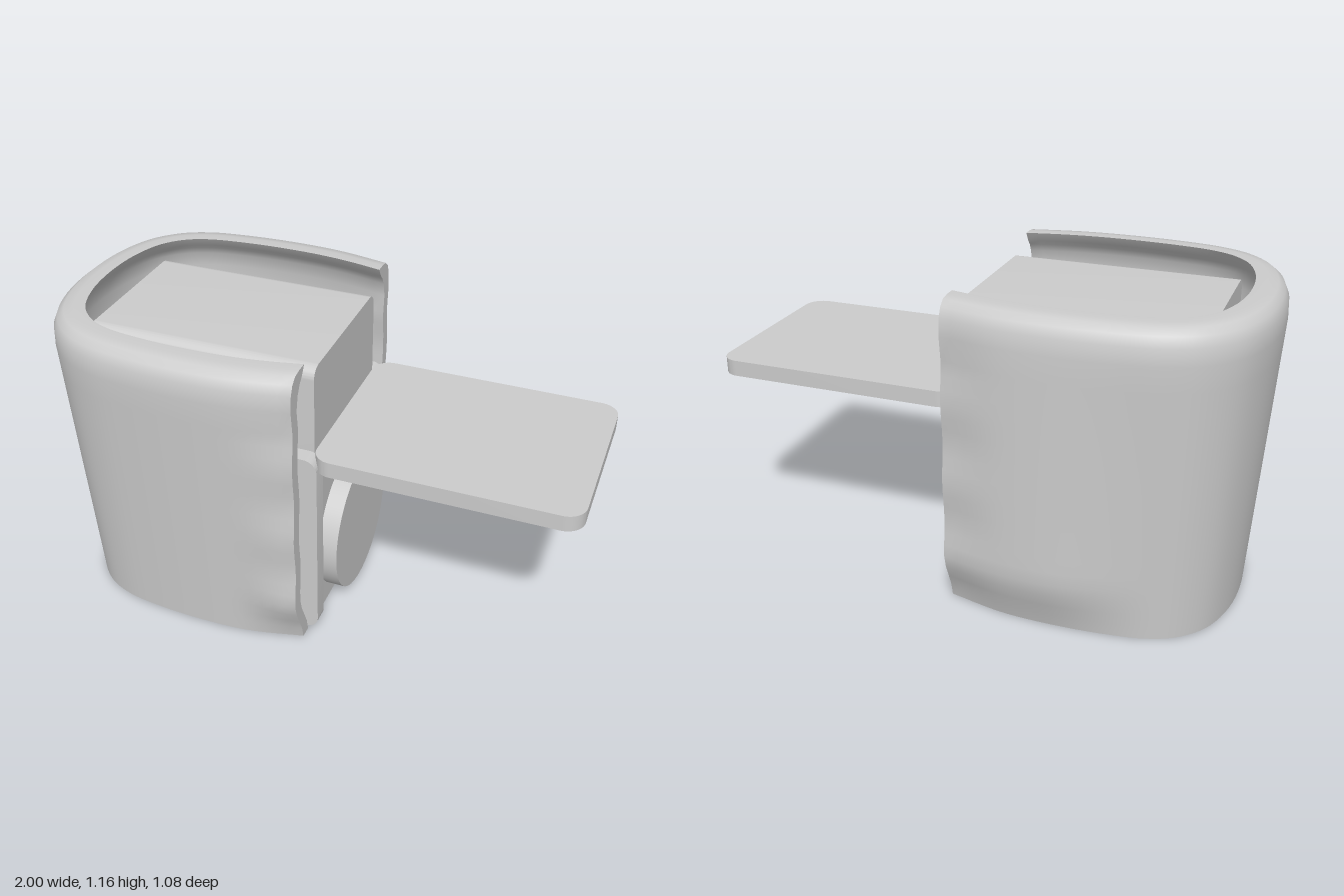
import * as THREE from 'three';
import { toCreasedNormals } from 'three/addons/utils/BufferGeometryUtils.js';

const grey = new THREE.MeshStandardMaterial({ color: 0xcccccc });
grey.name = 'grey plastic';
const { smoothstep } = THREE.MathUtils;

// Rounded rectangle from (x0, y0) to (x1, y1)
function roundedRect(x0, y0, x1, y1, r) {
  const s = new THREE.Shape();
  s.absarc(x1 - r, y0 + r, r, -Math.PI / 2, 0);
  s.absarc(x1 - r, y1 - r, r, 0, Math.PI / 2);
  s.absarc(x0 + r, y1 - r, r, Math.PI / 2, Math.PI);
  s.absarc(x0 + r, y0 + r, r, Math.PI, Math.PI * 1.5);
  s.closePath();
  return s;
}

function extrude(shape, depth) {
  const g = new THREE.ExtrudeGeometry(shape, { depth, bevelEnabled: false, curveSegments: 8 });
  return toCreasedNormals(g, 0.6);
}

// U-shaped housing: a hooked wall section swept around the plan, open at +x
function shellGeometry() {
  const half = [[0.05, 0.49], [-0.15, 0.53], [-0.35, 0.54], [-0.55, 0.53], [-0.7, 0.505],
    [-0.82, 0.45], [-0.92, 0.345], [-0.98, 0.19]];
  const plan = [...half, [-1, 0], ...half.map(([x, z]) => [x, -z]).reverse()];
  const path = new THREE.CatmullRomCurve3(plan.map(([x, z]) => new THREE.Vector3(x, 0, z)));

  // Wall section as [inset, height]: up the outside, over the lip, down the inside
  const heights = Array.from({ length: 20 }, (_, i) => i * 0.05);
  const section = [
    ...heights.map((y) => [0, y]),
    [0, 1.04], [0.005, 1.1], [0.02, 1.135], [0.045, 1.155], [0.08, 1.16],
    [0.122, 1.16], [0.1, 1.125], [0.08, 1.105], [0.063, 1.075], [0.05, 1.02],
    ...heights.map((y) => [0.047, y]).reverse(),
  ];
  const n = section.length, steps = 72, pos = [], index = [];

  for (let i = 0; i <= steps; i++) {
    const p = path.getPoint(i / steps), t = path.getTangent(i / steps);
    const nx = -t.z * smoothstep(-p.x, 0, 0.25);
    // Straight taper at the back, nearly upright with a tucked foot at the open ends
    const w = p.z > 0 ? smoothstep(p.x, -0.2, 0.05) : smoothstep(p.x, -0.75, -0.3);
    const end = smoothstep(p.x, -0.2, 0.05);
    for (const [inset, y] of section) {
      const taper = 0.065 * Math.max(0, 1 - y / 1.08);
      const tuck = 0.07 * (1 - smoothstep(y, -0.05, 0.22));
      const wave = y < 1 ? 0.006 * end * (1 - Math.cos((y - 0.2) * Math.PI * 2 / 0.3)) : 0;
      const d = inset + taper * (1 - w) + tuck * w + wave;
      pos.push(p.x + nx * d, y, p.z + t.x * d);
    }
  }
  for (let i = 0; i < steps; i++) {
    for (let j = 0; j < n; j++) {
      const a = i * n + j, b = i * n + (j + 1) % n;
      index.push(a, b, a + n, b, b + n, a + n);
    }
  }
  // Cut faces at the two open ends
  const last = steps * n;
  for (let k = 0; k < n / 2 - 1; k++) {
    const o = k, o2 = k + 1, q = n - 1 - k, q2 = n - 2 - k;
    index.push(q, q2, o, q2, o2, o);
    index.push(last + q, last + o, last + q2, last + q2, last + o, last + o2);
  }
  const g = new THREE.BufferGeometry();
  g.setAttribute('position', new THREE.Float32BufferAttribute(pos, 3));
  g.setIndex(index);
  return toCreasedNormals(g, 0.6);
}

export function createModel() {
  const model = new THREE.Group();
  model.name = 'housingWithTray';
  const add = (name, geometry) => {
    const m = new THREE.Mesh(geometry, grey);
    m.name = name;
    model.add(m);
    return m;
  };

  add('outerShell', shellGeometry());

  // Inner block with rounded long edges
  const block = add('innerBlock', extrude(roundedRect(-0.3, 0, 0.3, 1.1, 0.045), 0.855));
  block.rotation.y = Math.PI / 2;
  block.position.x = -0.8;

  // Plates on both sides of the block
  for (const [name, z] of [['rightSidePlate', -0.36], ['leftSidePlate', 0.3]]) {
    add(name, extrude(roundedRect(-0.8, 0, 0.085, 0.77, 0.05), 0.06)).position.z = z;
  }

  // Flat tray reaching out of the open side
  const tray = add('tray', extrude(roundedRect(0.06, -0.36, 1, 0.36, 0.07), 0.06));
  tray.rotation.x = -Math.PI / 2;
  tray.position.y = 0.72;

  // Round disc below the tray
  const disc = add('disc', new THREE.CylinderGeometry(0.27, 0.27, 0.07, 64));
  disc.rotation.z = -Math.PI / 2;
  disc.position.set(0.09, 0.275, 0);

  return model;
}
